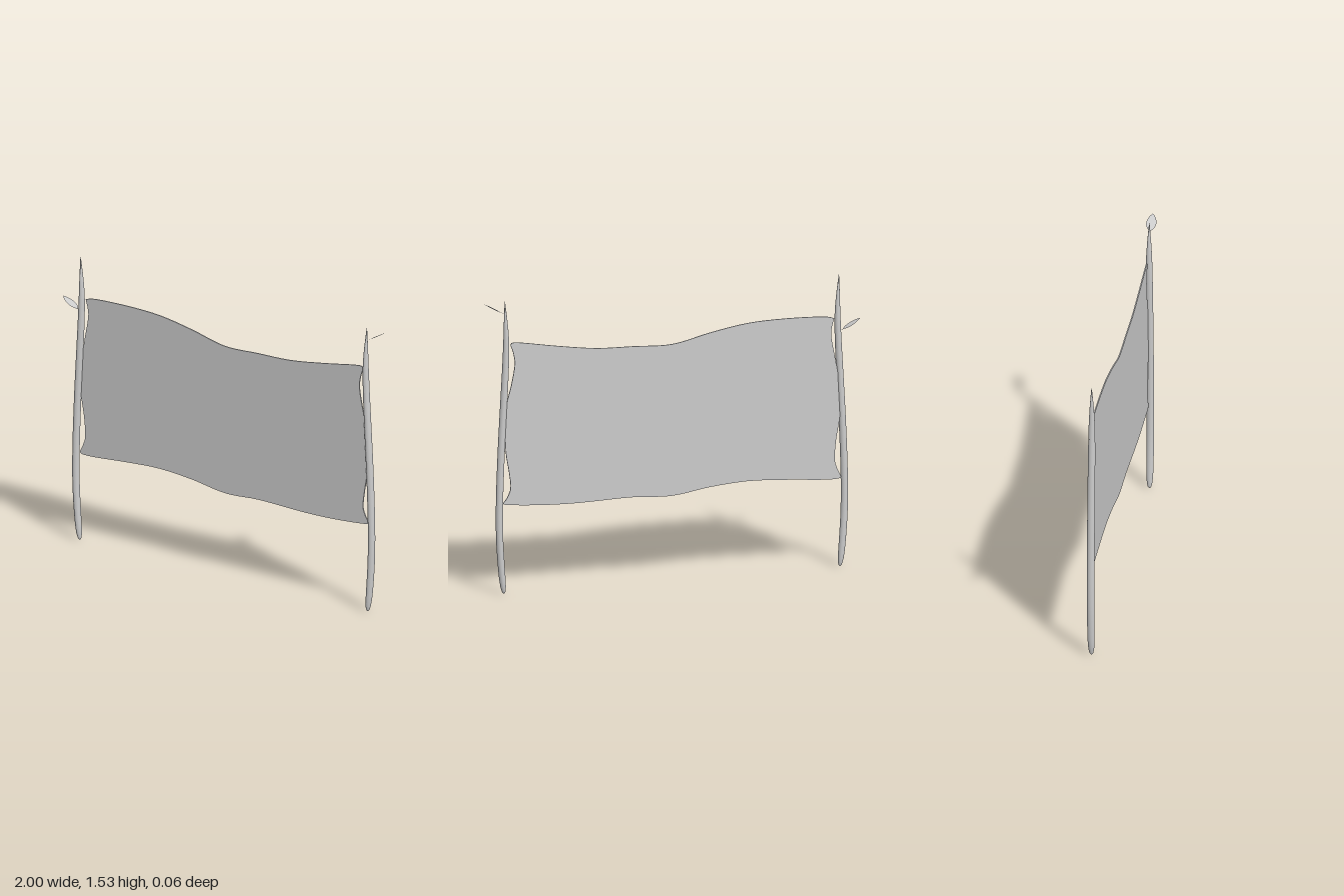
import * as THREE from 'three';

const solid = new THREE.MeshStandardMaterial({ color: 0xcccccc });
const thin = new THREE.MeshStandardMaterial({ color: 0xcccccc, side: THREE.DoubleSide });

const v2 = (pairs) => pairs.map(([x, y]) => new THREE.Vector2(x, y));

// Tapered round pole, bowed sideways along a spline
function makePole(side) {
  const profile = new THREE.SplineCurve(v2([
    [0.001, 0], [0.010, 0.012], [0.016, 0.05], [0.0185, 0.12], [0.0195, 0.3], [0.0195, 0.6],
    [0.0195, 0.9], [0.0185, 1.15], [0.0165, 1.3], [0.012, 1.4], [0.006, 1.48], [0.001, 1.535],
  ])).getPoints(60);
  const bow = new THREE.SplineCurve(v2([
    [0.893, 0], [0.905, 0.12], [0.916, 0.3], [0.916, 0.5], [0.907, 0.75],
    [0.894, 1.0], [0.884, 1.2], [0.881, 1.35], [0.888, 1.535],
  ])).getPoints(90);
  const bowAt = (y) => {
    const i = Math.max(1, bow.findIndex((p) => p.y >= y - 1e-6));
    const a = bow[i - 1], b = bow[i];
    return THREE.MathUtils.lerp(a.x, b.x, (y - a.y) / (b.y - a.y));
  };
  const geo = new THREE.LatheGeometry(profile, 20);
  const pos = geo.attributes.position;
  for (let i = 0; i < pos.count; i++) {
    const y = THREE.MathUtils.clamp(pos.getY(i), 0, 1.535);
    pos.setXYZ(i, pos.getX(i) * 0.93 + side * bowAt(y), y, pos.getZ(i));
  }
  geo.computeVertexNormals();
  return new THREE.Mesh(geo, solid);
}

// Flat pointed leaf on a short stem, growing outward and upward from its pole
function makeLeaf(side, x, y, z) {
  const outline = new THREE.Shape();
  outline.moveTo(0, -0.002);
  outline.lineTo(0.022, -0.003);
  outline.bezierCurveTo(0.04, -0.034, 0.09, -0.034, 0.125, 0);
  outline.bezierCurveTo(0.095, 0.032, 0.045, 0.036, 0.022, 0.003);
  outline.lineTo(0, 0.002);
  const geo = new THREE.ShapeGeometry(outline, 12);
  geo.rotateX(-Math.PI / 2);
  geo.rotateZ(0.51);
  if (side < 0) geo.rotateY(Math.PI);
  const leaf = new THREE.Mesh(geo, thin);
  leaf.position.set(side * x, y, z);
  return leaf;
}

// Wavy cloth panel: four edge splines meeting at the tied corners
function makeCloth() {
  const edges = [
    // bottom
    [[-0.897, 0.475], [-0.88, 0.465], [-0.8, 0.465], [-0.6, 0.481], [-0.4, 0.49], [-0.2, 0.475],
      [-0.05, 0.451], [0.05, 0.445], [0.22, 0.455], [0.5, 0.448], [0.7, 0.453], [0.88, 0.468], [0.897, 0.48]],
    // right
    [[0.897, 0.48], [0.875, 0.51], [0.86, 0.56], [0.87, 0.65], [0.886, 0.75], [0.89, 0.9],
      [0.88, 1.0], [0.855, 1.1], [0.838, 1.2], [0.845, 1.26], [0.86, 1.305]],
    // top
    [[0.86, 1.305], [0.85, 1.317], [0.8, 1.314], [0.6, 1.28], [0.4, 1.253], [0.2, 1.247], [0.05, 1.24],
      [-0.05, 1.25], [-0.2, 1.286], [-0.4, 1.32], [-0.6, 1.328], [-0.8, 1.322], [-0.86, 1.308]],
    // left
    [[-0.86, 1.308], [-0.847, 1.26], [-0.845, 1.21], [-0.865, 1.1], [-0.882, 1.0], [-0.893, 0.9],
      [-0.888, 0.78], [-0.87, 0.67], [-0.863, 0.57], [-0.875, 0.52], [-0.897, 0.475]],
  ];
  const points = edges.flatMap((e) => new THREE.SplineCurve(v2(e)).getPoints(48).slice(0, -1));
  const geo = new THREE.ExtrudeGeometry(new THREE.Shape(points), { depth: 0.006, bevelEnabled: false });
  geo.translate(0, 0, -0.011);
  return new THREE.Mesh(geo, solid);
}

export function createModel() {
  const model = new THREE.Group();
  model.name = 'clothBanner';
  const add = (mesh, name) => {
    mesh.name = name;
    model.add(mesh);
  };
  add(makeCloth(), 'cloth');
  add(makePole(1), 'leftPole');
  add(makePole(-1), 'rightPole');
  add(makeLeaf(1, 0.89, 1.469, 0), 'leftLeaf');
  add(makeLeaf(-1, 0.89, 1.238, -0.005), 'rightLeaf');
  return model;
}
